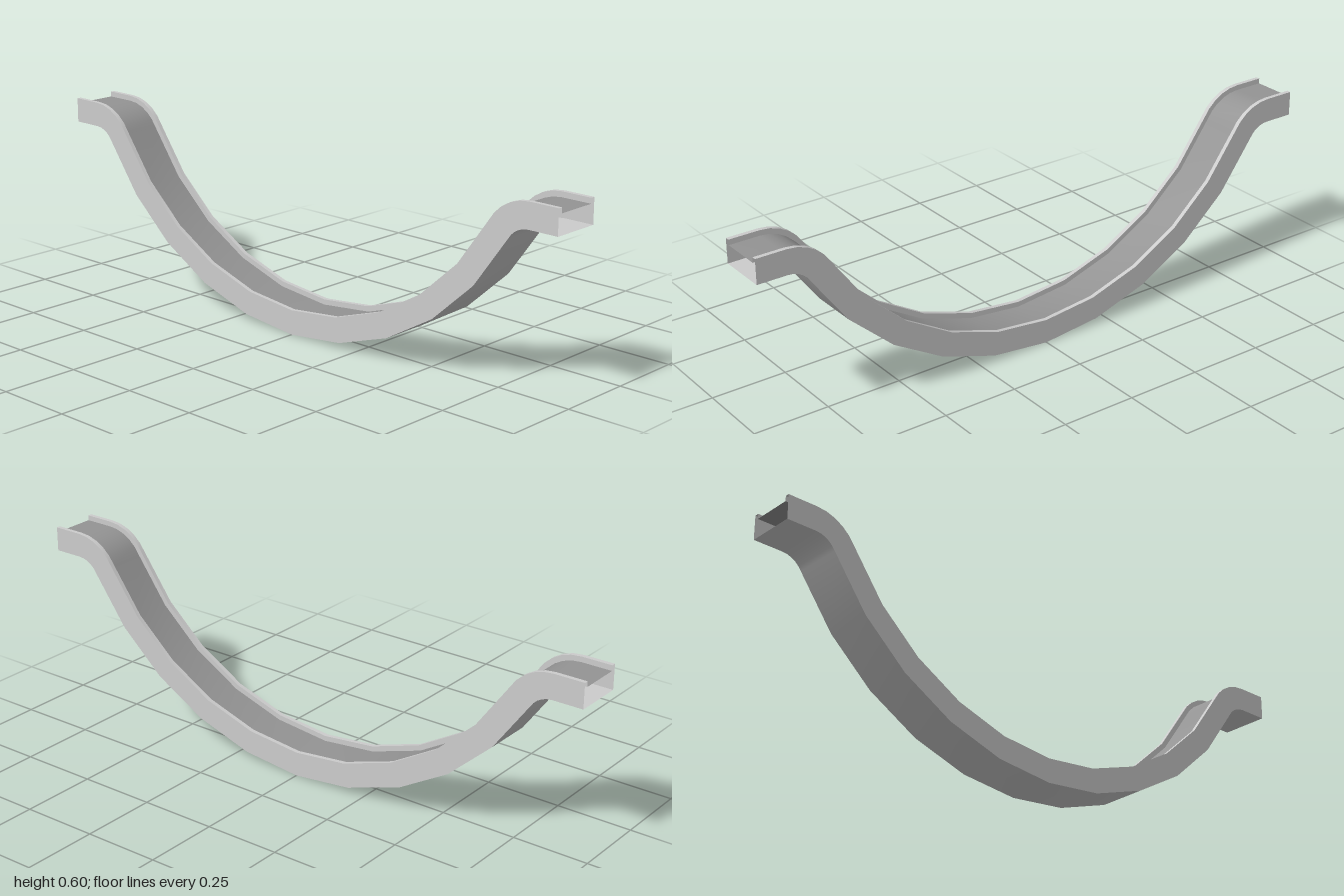
import * as THREE from 'three';

const HALF_WIDTH = 0.081, INNER = 0.067;   // outer and inner half widths
const TOP = 0.04, DECK = 0.023, BASE = -0.04; // offsets from the centre line
const BEND = Math.PI / 3, SAG_RADIUS = 0.92, CREST_RADIUS = 0.12;

// Centre line in the z-y plane: a wide sag, a tight crest and a level end, mirrored.
function centreLine() {
  const half = [];
  const span = SAG_RADIUS + CREST_RADIUS;
  for (let i = 0; i <= 5; i++) {
    const a = BEND * i / 5;
    half.push({ z: SAG_RADIUS * Math.sin(a), y: 0.04 + SAG_RADIUS * (1 - Math.cos(a)), a });
  }
  const crestZ = span * Math.sin(BEND);
  for (let i = 1; i <= 5; i++) {
    const a = BEND * (1 - i / 5);
    half.push({ z: crestZ - CREST_RADIUS * Math.sin(a), y: 0.56 - CREST_RADIUS * (1 - Math.cos(a)), a });
  }
  half.push({ z: 1, y: 0.56, a: 0 });
  const mirrored = half.slice(1).reverse().map(p => ({ z: -p.z, y: p.y, a: -p.a }));
  return [...mirrored, ...half];
}

// Sweeps one edge of the cross-section, smooth along the path and sharp across it.
function sweep(path, from, to) {
  const positions = [], indices = [];
  path.forEach((p, i) => {
    for (const [x, d] of [from, to]) {
      positions.push(x, p.y + Math.cos(p.a) * d, p.z - Math.sin(p.a) * d);
    }
    if (i > 0) {
      const k = 2 * (i - 1);
      indices.push(k, k + 2, k + 1, k + 1, k + 2, k + 3);
    }
  });
  const geometry = new THREE.BufferGeometry();
  geometry.setAttribute('position', new THREE.Float32BufferAttribute(positions, 3));
  geometry.setIndex(indices);
  geometry.computeVertexNormals();
  return geometry;
}

export function createModel() {
  const group = new THREE.Group();
  group.name = 'dippedTrack';
  const shell = new THREE.MeshStandardMaterial({ color: 0xcccccc, side: THREE.DoubleSide });
  shell.name = 'light grey';
  const deck = new THREE.MeshStandardMaterial({ color: 0x949494, side: THREE.DoubleSide });
  deck.name = 'mid grey';

  const path = centreLine();
  const add = (name, material, from, to) => {
    const mesh = new THREE.Mesh(sweep(path, from, to), material);
    mesh.name = name;
    group.add(mesh);
  };

  // Hollow channel, open at both ends
  add('deck', deck, [-INNER, DECK], [INNER, DECK]);
  add('underside', shell, [HALF_WIDTH, BASE], [-HALF_WIDTH, BASE]);

  // Left kerb and side wall
  add('leftKerbInside', shell, [INNER, DECK], [INNER, TOP]);
  add('leftRim', shell, [INNER, TOP], [HALF_WIDTH, TOP]);
  add('leftWall', shell, [HALF_WIDTH, TOP], [HALF_WIDTH, BASE]);

  // Right kerb and side wall
  add('rightWall', shell, [-HALF_WIDTH, BASE], [-HALF_WIDTH, TOP]);
  add('rightRim', shell, [-HALF_WIDTH, TOP], [-INNER, TOP]);
  add('rightKerbInside', shell, [-INNER, TOP], [-INNER, DECK]);

  return group;
}
